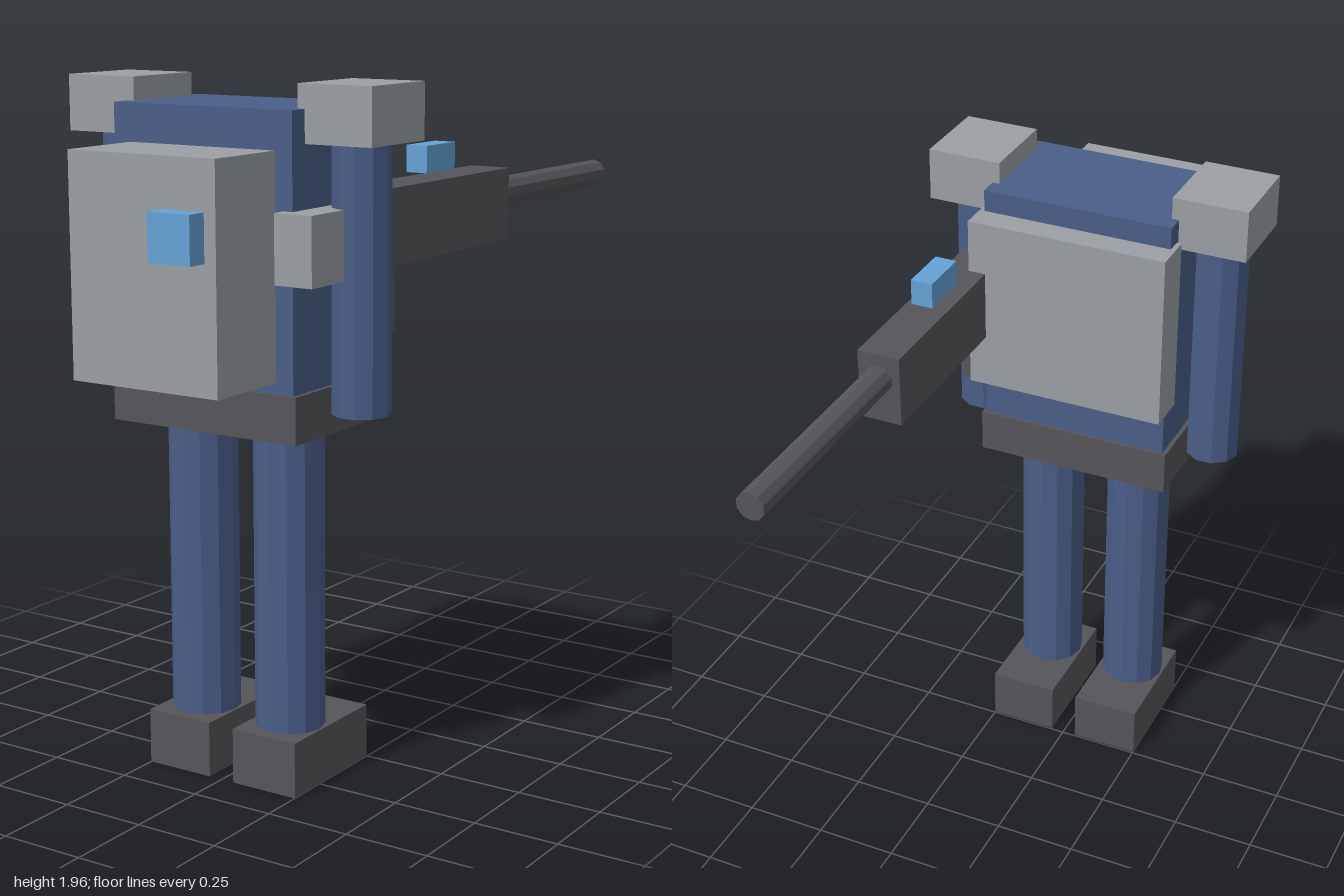
import * as THREE from 'three';

const material = (name, color) => {
  const m = new THREE.MeshStandardMaterial({ color });
  m.name = name;
  return m;
};

export function createModel() {
  const model = new THREE.Group();
  model.name = 'robot';
  const blue = material('armour blue', 0x4a5e88);
  const grey = material('plate grey', 0x9b9fa4);
  const dark = material('dark metal', 0x56555a);
  const glow = material('light blue', 0x66a2d6);

  const add = (name, geometry, mat) => {
    const mesh = new THREE.Mesh(geometry.toNonIndexed(), mat);
    mesh.geometry.computeVertexNormals(); // faceted sides
    mesh.name = name;
    model.add(mesh);
    return mesh;
  };
  // Box given by its lower and upper limits on each axis
  const box = (name, mat, [x0, x1], [y0, y1], [z0, z1]) =>
    add(name, new THREE.BoxGeometry(x1 - x0, y1 - y0, z1 - z0), mat)
      .position.set((x0 + x1) / 2, (y0 + y1) / 2, (z0 + z1) / 2);
  // Upright limb with a corner facing sideways
  const limb = (name, r, x, y0, y1, sides) =>
    add(name, new THREE.CylinderGeometry(r, r, y1 - y0, sides).rotateY(Math.PI / 2), blue)
      .position.set(x, (y0 + y1) / 2, 0.492);

  // Body
  box('torso', blue, [-0.29, 0.29], [1.15, 1.895], [0.305, 0.68]);
  box('pelvis', dark, [-0.303, 0.303], [1.02, 1.15], [0.295, 0.69]);
  box('chestPlate', grey, [-0.236, 0.236], [1.18, 1.79], [0.67, 0.94]);
  box('chestLight', glow, [0.067, 0.2], [1.525, 1.655], [0.93, 1]);
  box('backpack', grey, [-0.305, 0.305], [1.3, 1.83], [0.225, 0.35]);

  // Limbs, mirrored
  for (const [side, s] of [['left', 1], ['right', -1]]) {
    const x = s * 0.146;
    limb(side + 'Leg', 0.099, x, 0.05, 1.04, 12);
    box(side + 'Foot', dark, [x - 0.105, x + 0.105], [0, 0.16], [0.255, 0.625]);
    limb(side + 'Arm', 0.08, s * 0.382, 1.08, 1.83, 10);
    const sx = s * 0.381;
    box(side + 'Shoulder', grey, [sx - 0.113, sx + 0.113], [1.805, 1.96], [0.362, 0.622]);
  }

  // Gun carried at the left side, pointing backwards
  box('gunBody', dark, [0.252, 0.38], [1.46, 1.67], [-0.315, 0.45]);
  box('gunStock', grey, [0.26, 0.376], [1.447, 1.635], [0.45, 0.72]);
  box('gunMagazine', dark, [0.275, 0.357], [1.275, 1.47], [0.283, 0.387]);
  box('gunSight', glow, [0.283, 0.349], [1.688, 1.764], [-0.05, 0.105]);
  add('gunBarrel', new THREE.CylinderGeometry(0.042, 0.042, 0.7, 10).rotateX(Math.PI / 2), dark)
    .position.set(0.317, 1.593, -0.65);

  return model;
}
